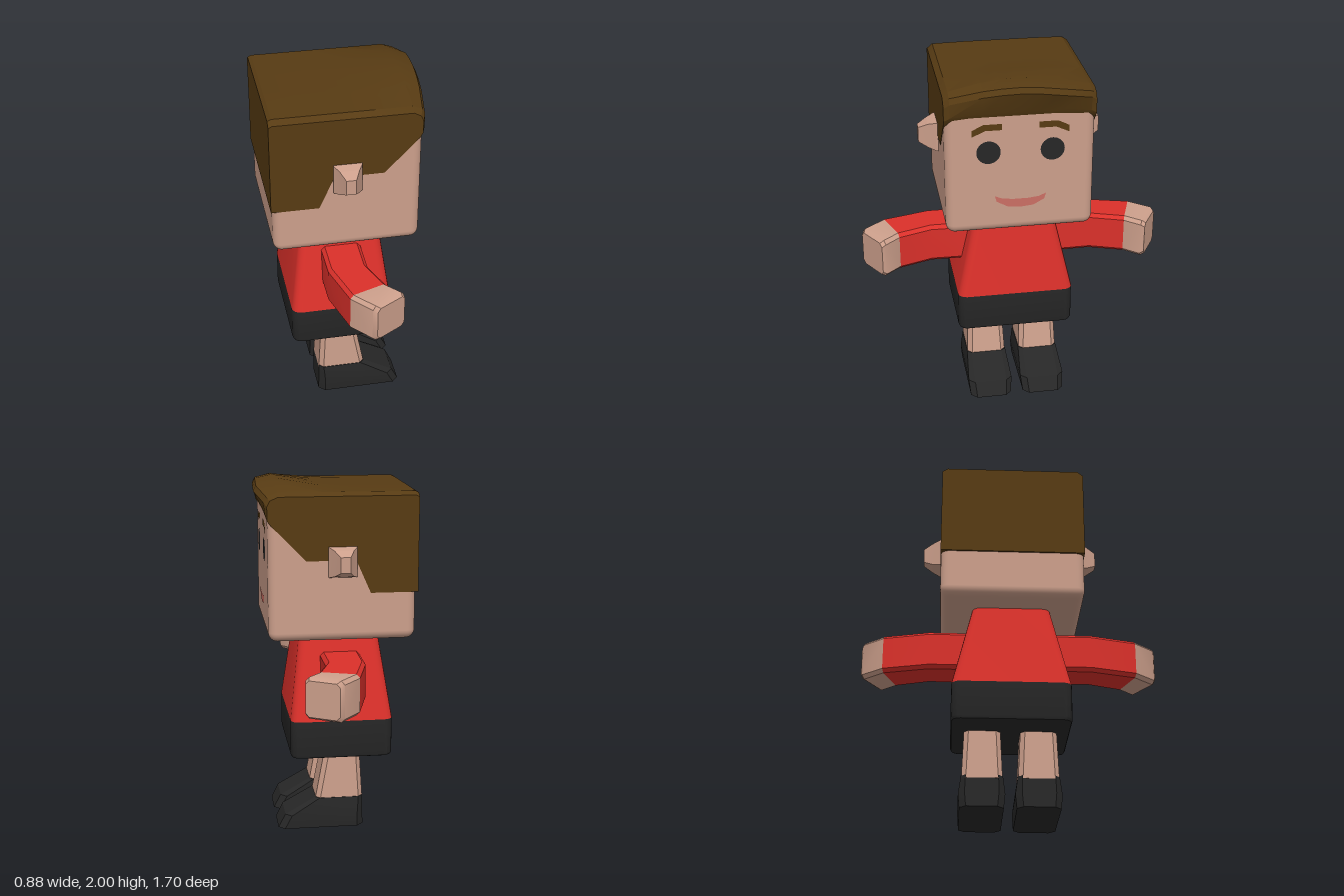
import * as THREE from 'three';
import { toCreasedNormals } from 'three/addons/utils/BufferGeometryUtils.js';
import { RoundedBoxGeometry } from 'three/addons/geometries/RoundedBoxGeometry.js';

const material = (color) => new THREE.MeshStandardMaterial({ color, side: THREE.DoubleSide });
const skin = material(0xcc9f8b), red = material(0xdb302a), dark = material(0x272727);
const brown = material(0x573b13), pink = material(0xcb6f64);

// Closed skin over a list of equal-length convex rings
function loft(rings, crease = 0.6) {
  const n = rings[0].length, tris = [];
  const mid = (ring) => [0, 1, 2].map((k) => ring.reduce((s, p) => s + p[k], 0) / n);
  const first = rings[0], last = rings[rings.length - 1], c0 = mid(first), c1 = mid(last);
  for (let j = 0; j < n; j++) {
    const k = (j + 1) % n;
    for (let i = 0; i + 1 < rings.length; i++) {
      const a = rings[i], b = rings[i + 1];
      tris.push([a[j], a[k], b[k]], [a[j], b[k], b[j]]);
    }
    tris.push([c0, first[k], first[j]], [c1, last[j], last[k]]);
  }
  // Turn every face outwards
  const volume = tris.reduce((s, [a, b, c]) => s + new THREE.Vector3(...a)
    .dot(new THREE.Vector3(...b).cross(new THREE.Vector3(...c))), 0);
  if (volume < 0) tris.forEach((t) => t.reverse());
  const geo = new THREE.BufferGeometry();
  geo.setAttribute('position', new THREE.Float32BufferAttribute(tris.flat(2), 3));
  return toCreasedNormals(geo, crease);
}

// Horizontal rectangle with rounded (or, with one segment, cut) corners
function ringAt(y, x0, x1, z0, z1, r, segs = 4) {
  const pts = [];
  [[x1, z1, -1, -1], [x0, z1, 1, -1], [x0, z0, 1, 1], [x1, z0, -1, 1]].forEach(([x, z, sx, sz], q) => {
    for (let i = 0; i <= segs; i++) {
      const a = (q + i / segs) * Math.PI / 2;
      pts.push([x + sx * r + r * Math.cos(a), y, z + sz * r + r * Math.sin(a)]);
    }
  });
  return pts;
}

// Upright cut-corner rectangle across an arm, from point a to point b in plan
function armRing(a, b, side, inset = 0) {
  const c = 0.02, w = Math.hypot(b[0] - a[0], b[1] - a[1]), y0 = 0.81 + inset, y1 = 1.035 - inset;
  const at = (d, y) => [a[0] + (b[0] - a[0]) * d / w, y, side * (a[1] + (b[1] - a[1]) * d / w)];
  const l = inset, r = w - inset;
  return [at(l + c, y0), at(r - c, y0), at(r, y0 + c), at(r, y1 - c),
    at(r - c, y1), at(l + c, y1), at(l, y1 - c), at(l, y0 + c)];
}

// Hair: a side profile swept across the head, its fringe varying with z
function hairGeometry() {
  // z, front x, peak y, fringe y
  const sections = [
    [-0.405, 0.378, 1.925, 1.8], [-0.375, 0.395, 1.945, 1.82], [-0.2, 0.435, 1.983, 1.835],
    [-0.1, 0.432, 1.995, 1.835], [0, 0.427, 2, 1.835], [0.1, 0.42, 1.995, 1.835],
    [0.2, 0.41, 1.983, 1.835], [0.375, 0.385, 1.945, 1.82], [0.405, 0.372, 1.92, 1.8]];
  const profile = ([, fx, peak, fringe]) => [
    [-0.44, 1.4], [-0.18, 1.4], [-0.1, 1.58], [0.17, 1.58], [0.36, 1.775],
    [Math.min(fx, 0.385), fringe], [fx, peak - 0.05], [fx - 0.015, peak - 0.02], [0.32, peak],
    [0.08, Math.min(1.962, peak)], [-0.1, Math.min(1.95, peak)],
    [-0.42, Math.min(1.948, peak)], [-0.44, Math.min(1.935, peak - 0.01)]];
  const base = profile(sections[0]), steps = sections.length - 1;
  const shape = new THREE.Shape(base.map((p) => new THREE.Vector2(...p)));
  const geo = new THREE.ExtrudeGeometry(shape, { depth: 1, steps, bevelEnabled: false });
  const pos = geo.attributes.position;
  for (let v = 0; v < pos.count; v++) {
    const i = base.findIndex(([x, y]) => Math.hypot(x - pos.getX(v), y - pos.getY(v)) < 1e-4);
    const section = sections[Math.round(pos.getZ(v) * steps)];
    pos.setXYZ(v, ...profile(section)[i], section[0]);
  }
  return toCreasedNormals(geo, 0.4);
}

export function createModel() {
  const model = new THREE.Group();
  const add = (name, geo, mat) => {
    const mesh = new THREE.Mesh(geo, mat);
    mesh.name = name;
    model.add(mesh);
    return mesh;
  };

  // Head and hair
  add('head', new RoundedBoxGeometry(0.805, 0.79, 0.805, 4, 0.05), skin).position.set(-0.0275, 1.53, 0);
  add('hair', hairGeometry(), brown);

  // Flat face features, turned to look along +x
  const decal = (name, geo, mat, y = 0, z = 0) => {
    const mesh = add(name, geo, mat);
    mesh.rotation.y = Math.PI / 2;
    mesh.position.set(0.378, y, z);
  };
  const flat = (pts) => new THREE.ShapeGeometry(new THREE.Shape(pts.map((p) => new THREE.Vector2(...p))));
  decal('mouth', flat([[-0.14, 1.352], [-0.13, 1.318], [-0.07, 1.285], [0, 1.278], [0.07, 1.285],
    [0.13, 1.318], [0.14, 1.352], [0.1, 1.335], [0.04, 1.328], [-0.04, 1.328], [-0.1, 1.335]]), pink);

  // Torso
  add('shirt', loft([ringAt(0.655, -0.325, 0.25, -0.33, 0.33, 0.05),
    ringAt(1.16, -0.25, 0.185, -0.215, 0.215, 0.05)]), red);
  add('shorts', loft([ringAt(0.435, -0.305, 0.23, -0.31, 0.31, 0.04),
    ringAt(0.441, -0.319, 0.244, -0.324, 0.324, 0.047),
    ringAt(0.455, -0.325, 0.25, -0.33, 0.33, 0.05),
    ringAt(0.655, -0.325, 0.25, -0.33, 0.33, 0.05)]), dark);

  // Paired parts; the figure faces +x, so its right is +z
  for (const s of [1, -1]) {
    const side = s > 0 ? 'right' : 'left';
    const z = (a, b) => (s > 0 ? [a, b] : [-b, -a]);

    decal(side + 'Eye', new THREE.CircleGeometry(0.065, 32), dark, 1.61, s * 0.172);
    decal(side + 'Eyebrow', flat([[0.1, 1.735], [0.1, 1.77], [0.2, 1.77], [0.26, 1.74],
      [0.26, 1.703], [0.19, 1.735]].map(([u, v]) => [-s * u, v])), brown);

    // Ear
    const earRing = (d, x0, x1, y0, y1) => [[x0, y0, s * d], [x1, y0, s * d], [x1, y1, s * d], [x0, y1, s * d]];
    add(side + 'Ear', loft([earRing(0.39, -0.105, 0.05, 1.49, 1.655), earRing(0.412, -0.105, 0.05, 1.49, 1.655),
      earRing(0.455, -0.08, 0.025, 1.503, 1.642), earRing(0.508, -0.055, -0.002, 1.53, 1.615)], 0.1), skin);

    // Arm bending forwards, ending in a block hand
    const wrist = [[-0.075, 0.722], [0.14, 0.645]];
    add(side + 'Sleeve', loft([armRing([-0.145, 0.15], [0.08, 0.15], s),
      armRing([-0.145, 0.46], [0.075, 0.46], s), armRing(...wrist, s)]), red);
    add(side + 'Hand', loft([armRing(...wrist, s), armRing([0.022, 0.84], [0.212, 0.726], s),
      armRing([0.035, 0.856], [0.228, 0.742], s, 0.014)]), skin);

    // Leg and shoe
    add(side + 'Leg', loft([ringAt(0.16, -0.165, 0.108, ...z(0.042, 0.266), 0.025, 1),
      ringAt(0.45, -0.148, 0.053, ...z(0.055, 0.255), 0.025, 1)], 0.3), skin);
    add(side + 'Shoe', loft([ringAt(0, -0.168, 0.32, ...z(0.035, 0.275), 0.035, 1),
      ringAt(0.08, -0.166, 0.28, ...z(0.027, 0.282), 0.035, 1),
      ringAt(0.177, -0.164, 0.108, ...z(0.04, 0.268), 0.025, 1)], 0.3), dark);
  }
  return model;
}
